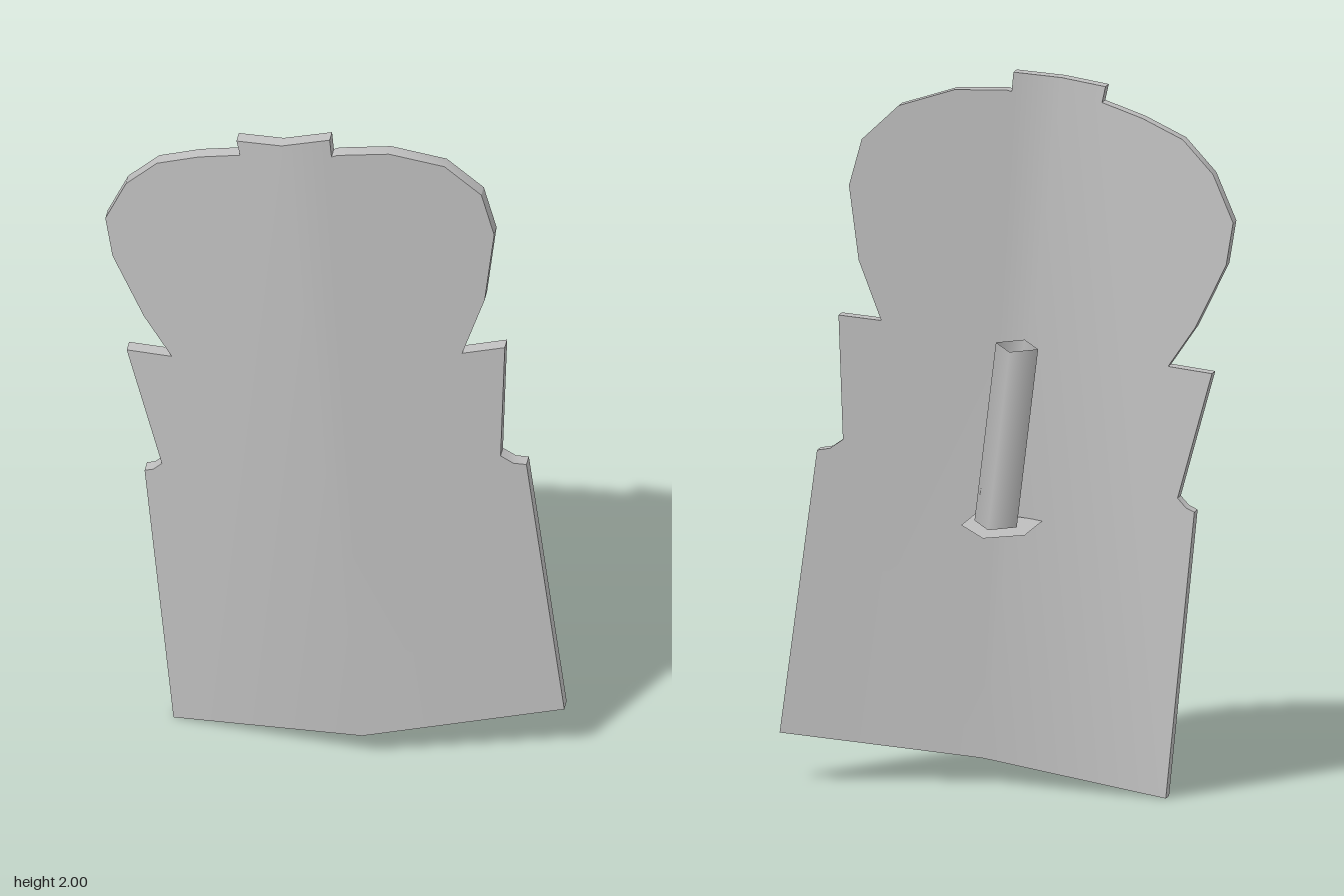
import * as THREE from 'three';
import { toCreasedNormals } from 'three/addons/utils/BufferGeometryUtils.js';

const TILT = 0.12; // the whole piece leans slightly to one side

// Ridge fold line, and both halves of the outline, counter-clockwise
const ridgeTop = [-0.13, 1.985];
const ridgeBottom = [0.095, 0.07];
const rightHalf = [
  ridgeTop, [-0.26, 1.97], [-0.25, 1.925], [-0.37, 1.89], [-0.49, 1.84], [-0.58, 1.75],
  [-0.64, 1.62], [-0.62, 1.5], [-0.53, 1.32], [-0.45, 1.205], [-0.58, 1.195],
  [-0.48, 0.84], [-0.505, 0.815], [-0.53, 0.805], [-0.45, 0], ridgeBottom,
];
const leftHalf = [
  ridgeBottom, [0.64, 0.14], [0.535, 0.935], [0.5, 0.94], [0.465, 0.965], [0.475, 1.315],
  [0.36, 1.3], [0.42, 1.47], [0.445, 1.68], [0.41, 1.81], [0.31, 1.905], [0.16, 1.95],
  [0.02, 1.95], [0.005, 1.945], [0, 2], ridgeTop,
];

// Distance from the ridge sets how far the plate is folded back
function frontZ([x, y]) {
  const dx = ridgeTop[0] - ridgeBottom[0], dy = ridgeTop[1] - ridgeBottom[1];
  const u = ((x - ridgeBottom[0]) * dy - (y - ridgeBottom[1]) * dx) / Math.hypot(dx, dy);
  return 0.2 - 0.21 * Math.abs(u);
}

function foldedPlate(halves, thickness) {
  const positions = [];
  const front = (p) => [p[0], p[1], frontZ(p)];
  const back = (p) => [p[0], p[1], frontZ(p) - thickness];
  const tri = (...corners) => corners.forEach((c) => positions.push(...c));
  for (const half of halves) {
    const contour = half.map(([x, y]) => new THREE.Vector2(x, y));
    for (const [a, b, c] of THREE.ShapeUtils.triangulateShape(contour, [])) {
      tri(front(half[a]), front(half[b]), front(half[c]));
      tri(back(half[c]), back(half[b]), back(half[a]));
    }
    // Rim, leaving out the shared ridge
    for (let i = 0; i < half.length - 1; i++) {
      const a = half[i], b = half[i + 1];
      tri(front(a), back(a), back(b));
      tri(front(a), back(b), front(b));
    }
  }
  const geometry = new THREE.BufferGeometry();
  geometry.setAttribute('position', new THREE.Float32BufferAttribute(positions, 3));
  return toCreasedNormals(geometry, 0.5);
}

export function createModel() {
  const model = new THREE.Group();
  model.name = 'foldedShield';
  const grey = new THREE.MeshStandardMaterial({ color: 0xc0c0c0, side: THREE.DoubleSide });
  grey.name = 'plainGrey';

  const add = (name, geometry) => {
    const mesh = new THREE.Mesh(geometry, grey);
    mesh.name = name;
    model.add(mesh);
    return mesh;
  };

  // Folded plate
  add('shieldPlate', foldedPlate([rightHalf, leftHalf], 0.041));

  // Open four-sided tube behind the plate
  const tube = new THREE.CylinderGeometry(1, 1, 0.505, 4, 1, true);
  tube.scale(0.06, 1, 0.095);
  const handle = add('handleTube', tube);
  handle.position.set(-0.02, 1.017, -0.045);
  handle.rotation.z = TILT;

  // Thin pointed shelf under the tube
  const outline = [[-0.09, -0.145], [0.09, -0.145], [0.09, 0.08], [0, 0.205], [-0.09, 0.08]];
  const shelf = new THREE.ShapeGeometry(new THREE.Shape(outline.map((p) => new THREE.Vector2(...p))));
  shelf.rotateX(-Math.PI / 2);
  const base = add('handleShelf', shelf);
  base.position.set(0.01, 0.755, 0);
  base.rotation.z = TILT;

  return model;
}
